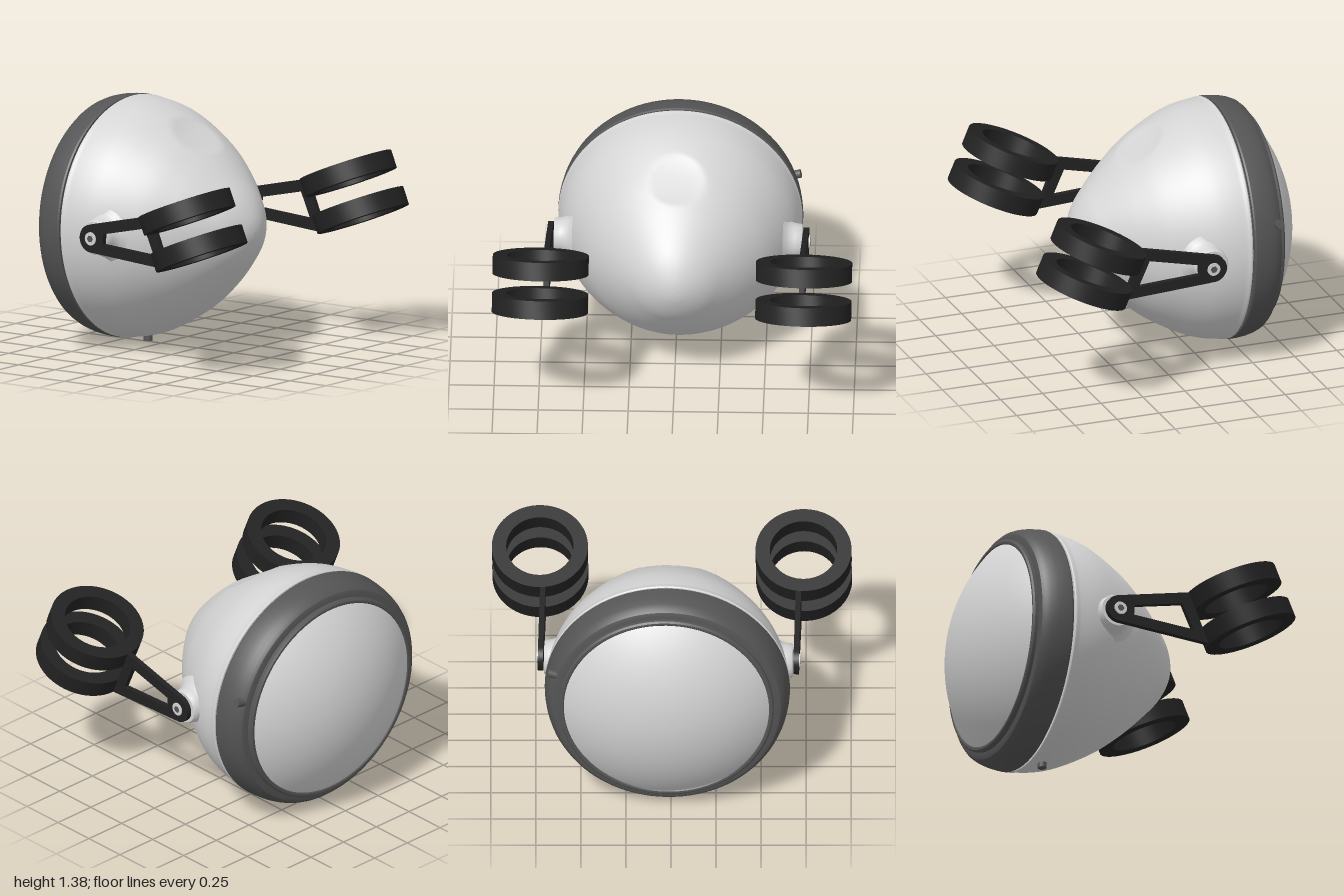
import * as THREE from 'three';
import { toCreasedNormals } from 'three/addons/utils/BufferGeometryUtils.js';

const mat = (name, color) => {
  const m = new THREE.MeshStandardMaterial({ color });
  m.name = name;
  return m;
};

export function createModel() {
  const pale = mat('pale grey', 0xd4d4d4);
  const dark = mat('dark grey', 0x555555);
  const black = mat('black', 0x222222);

  const add = (parent, name, geometry, material, x = 0, y = 0, z = 0) => {
    const m = new THREE.Mesh(geometry, material);
    m.name = name;
    m.position.set(x, y, z);
    parent.add(m);
    return m;
  };
  // points are [radius, height], rising on the outside
  const lathe = (pts, seg = 96) =>
    new THREE.LatheGeometry(pts.map(p => new THREE.Vector2(p[0], p[1])), seg);
  // turned shape with its axis along z
  const turnedZ = (pts, seg) => toCreasedNormals(lathe(pts, seg).rotateX(Math.PI / 2), 0.5);

  const model = new THREE.Group();
  model.name = 'headlamp';
  model.position.x = 0.008;
  model.rotation.y = -0.026;

  const lamp = new THREE.Group();
  lamp.name = 'lamp';
  lamp.position.y = 0.704;
  lamp.rotation.x = -0.018;
  model.add(lamp);

  // Bucket-shaped housing with a shallow dish pressed into its top
  const curve = new THREE.SplineCurve([
    [0.676, -0.425], [0.664, -0.34], [0.64, -0.25], [0.59, -0.14], [0.507, 0], [0.415, 0.115],
    [0.345, 0.19], [0.272, 0.26], [0.205, 0.32], [0.135, 0.365], [0.06, 0.396], [0, 0.405],
  ].map(p => new THREE.Vector2(...p)));
  const profile = curve.getSpacedPoints(64).map(p => [Math.max(p.x, 0), p.y]);
  const shell = lathe([[0.62, -0.446], [0.674, -0.446], [0.679, -0.441], [0.679, -0.43], ...profile], 128)
    .rotateX(Math.PI / 2);
  const pos = shell.attributes.position;
  for (let i = 0; i < pos.count; i++) {
    const x = pos.getX(i), y = pos.getY(i), z = pos.getZ(i);
    const t = (x / 0.16) ** 2 + ((z + 0.003) / 0.128) ** 2;
    if (y > 0 && t < 1) {
      const d = 0.025 * (1 - t);
      pos.setXYZ(i, x, y - 0.81 * d, z - 0.59 * d);
    }
  }
  add(lamp, 'housing', toCreasedNormals(shell, 0.6), pale);

  // Rim band, inner retaining ring and domed lens
  add(lamp, 'rimBand', turnedZ([
    [0.56, -0.635], [0.615, -0.635], [0.635, -0.628], [0.651, -0.61], [0.664, -0.58],
    [0.674, -0.54], [0.68, -0.49], [0.681, -0.465], [0.676, -0.456], [0.62, -0.456],
  ]), dark);
  add(lamp, 'gapFiller', turnedZ([[0.655, -0.47], [0.655, -0.43]]), dark);
  add(lamp, 'retainingRing', turnedZ([
    [0.565, -0.62], [0.565, -0.655], [0.575, -0.664], [0.588, -0.664], [0.597, -0.655], [0.597, -0.62],
  ]), dark);
  const dome = [];
  for (let i = 0; i <= 24; i++) {
    const a = 0.685 * i / 24;
    dome.push([0.909 * Math.sin(a), 0.049 - 0.909 * Math.cos(a)]);
  }
  add(lamp, 'lens', turnedZ(dome), pale);

  // Drain nub below and clip screw on the rim
  add(lamp, 'drainNub', new THREE.CylinderGeometry(0.025, 0.025, 0.06, 20), dark, 0, -0.667, -0.365);
  const clip = add(lamp, 'rimScrew', new THREE.CylinderGeometry(0.024, 0.024, 0.06, 16), dark, 0.632, 0.185, -0.605);
  clip.rotation.z = -Math.PI / 2 + 0.285;

  // Flat triangular arm with round eye and triangular opening, drawn as (z, y)
  const arm = new THREE.Shape();
  arm.moveTo(-0.2, 0.622);
  arm.absarc(-0.195, 0.7, 0.078, -1.64, -4.48, true);
  arm.lineTo(0.222, 0.875);
  arm.lineTo(0.34, 0.585);
  arm.closePath();
  const opening = new THREE.Path();
  [[0.182, 0.8], [-0.108, 0.735], [-0.112, 0.676], [0.247, 0.653]]
    .forEach(([z, y], i) => (i ? opening.lineTo(z, y) : opening.moveTo(z, y)));
  opening.closePath();
  arm.holes.push(opening);
  const armGeo = new THREE.ExtrudeGeometry(arm, { depth: 0.03, bevelEnabled: false, curveSegments: 24 })
    .translate(0, 0, -0.015).rotateY(-Math.PI / 2);

  // Fork clamp ring
  const ringGeo = toCreasedNormals(lathe([
    [0.187, -0.052], [0.267, -0.052], [0.267, 0.052], [0.187, 0.052], [0.187, -0.052],
  ], 64), 0.5);
  // Flared side boss
  const bossGeo = toCreasedNormals(lathe([
    [0.15, 0.585], [0.122, 0.605], [0.108, 0.625], [0.1, 0.65], [0.096, 0.682], [0.09, 0.69], [0, 0.69],
  ], 48), 0.6);

  for (const s of [1, -1]) {
    const bracket = new THREE.Group();
    bracket.name = s > 0 ? 'leftBracket' : 'rightBracket';
    model.add(bracket);
    const acrossX = m => { m.rotation.z = -s * Math.PI / 2; };

    acrossX(add(bracket, 'boss', bossGeo, pale, 0, 0.7, -0.2));
    add(bracket, 'arm', armGeo, black, s * 0.71, 0, 0);
    acrossX(add(bracket, 'bolt', new THREE.CylinderGeometry(0.037, 0.037, 0.02, 32), pale, s * 0.722, 0.7, -0.195));
    acrossX(add(bracket, 'boltSocket', new THREE.CylinderGeometry(0.02, 0.02, 0.004, 6), dark, s * 0.732, 0.7, -0.195));
    add(bracket, 'upperClamp', ringGeo, black, s * 0.732, 0.932, 0.485).rotation.x = -0.4;
    add(bracket, 'lowerClamp', ringGeo, black, s * 0.732, 0.734, 0.57).rotation.x = -0.4;
  }
  return model;
}
